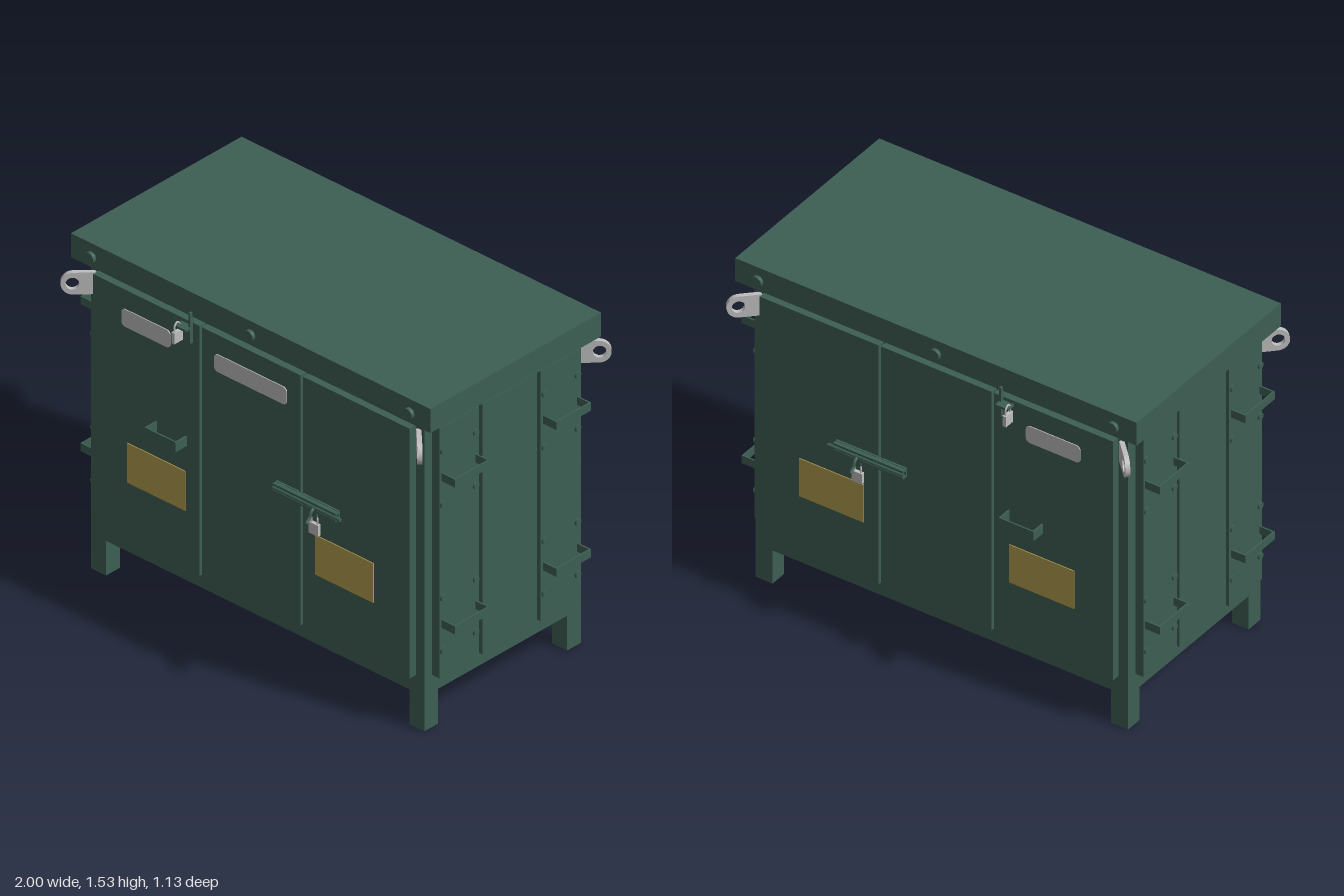
import * as THREE from 'three';

const paint = new THREE.MeshStandardMaterial({ color: 0x3d5f53 });
paint.name = 'green paint';
const steel = new THREE.MeshStandardMaterial({ color: 0xbebebe });
steel.name = 'light steel';
const yellow = new THREE.MeshStandardMaterial({ color: 0xb39c4f });
yellow.name = 'yellow plate';

export function createModel() {
  const root = new THREE.Group();
  root.name = 'equipmentCabinet';

  const add = (name, geo, mat, x = 0, y = 0, z = 0, parent = root) => {
    const m = new THREE.Mesh(geo, mat);
    m.name = name;
    m.position.set(x, y, z);
    parent.add(m);
    return m;
  };
  // box given by its limits on each axis
  const box = (name, mat, [x0, x1], [y0, y1], [z0, z1], parent = root) =>
    add(name, new THREE.BoxGeometry(Math.abs(x1 - x0), y1 - y0, Math.abs(z1 - z0)), mat,
      (x0 + x1) / 2, (y0 + y1) / 2, (z0 + z1) / 2, parent);
  // round bolt head pointing along x or z
  const bolt = (name, r, h, x, y, z, axis) => {
    const m = add(name, new THREE.CylinderGeometry(r, r, h, 16), paint, x, y, z);
    if (axis === 'x') m.rotation.z = Math.PI / 2;
    else m.rotation.x = Math.PI / 2;
  };
  const extrude = (shape, depth) =>
    new THREE.ExtrudeGeometry(shape, { depth, bevelEnabled: false, curveSegments: 12 })
      .translate(0, 0, -depth / 2);

  // Padlock hanging from its shackle, centred on its body
  const padlock = (x, y, z, turn) => {
    const g = new THREE.Group();
    g.name = 'padlock';
    box('padlockBody', steel, [-0.025, 0.025], [-0.025, 0.025], [-0.008, 0.008], g);
    const arch = new THREE.CatmullRomCurve3([[-0.015, 0.02], [-0.015, 0.05], [0, 0.065], [0.015, 0.05], [0.015, 0.02]]
      .map(([a, b]) => new THREE.Vector3(a, b, 0)));
    add('padlockShackle', new THREE.TubeGeometry(arch, 16, 0.004, 8), steel, 0, 0, 0, g);
    g.position.set(x, y, z);
    g.rotation.y = turn;
    root.add(g);
  };

  // Housing and lid
  box('body', paint, [-0.89, 0.89], [0.16, 1.42], [-0.45, 0.45]);
  box('lid', paint, [-0.96, 0.96], [1.42, 1.53], [-0.49, 0.49]);

  // Hollow square legs
  const legShape = new THREE.Shape([[-0.04, -0.04], [0.04, -0.04], [0.04, 0.04], [-0.04, 0.04]]
    .map(([a, b]) => new THREE.Vector2(a, b)));
  legShape.holes.push(new THREE.Path([[-0.035, -0.035], [-0.035, 0.035], [0.035, 0.035], [0.035, -0.035]]
    .map(([a, b]) => new THREE.Vector2(a, b))));
  const legGeo = extrude(legShape, 0.16).rotateX(Math.PI / 2);

  // Lifting lug: plate with a round eye
  const lugShape = new THREE.Shape();
  lugShape.moveTo(0, -0.05);
  lugShape.lineTo(0.092, -0.05);
  lugShape.absarc(0.092, 0, 0.05, -Math.PI / 2, Math.PI / 2, false);
  lugShape.lineTo(0, 0.05);
  lugShape.closePath();
  const eye = new THREE.Path();
  eye.absarc(0.095, 0, 0.027, 0, Math.PI * 2, true);
  lugShape.holes.push(eye);
  const lugGeo = extrude(lugShape, 0.02);

  for (const sx of [-1, 1]) for (const sz of [-1, 1]) {
    add('leg', legGeo, paint, sx * 0.85, 0.08, sz * 0.41);
    const lug = add('liftingLug', lugGeo, steel, sx * 0.86, 1.33, sz * 0.45);
    lug.rotation.y = Math.atan2(-sz, sx);
  }

  // Label slot with rounded corners
  const slot = (x0, x1, z) => {
    const y0 = 1.222, y1 = 1.302, r = 0.02, s = new THREE.Shape();
    s.absarc(x1 - r, y0 + r, r, -Math.PI / 2, 0);
    s.absarc(x1 - r, y1 - r, r, 0, Math.PI / 2);
    s.absarc(x0 + r, y1 - r, r, Math.PI / 2, Math.PI);
    s.absarc(x0 + r, y0 + r, r, Math.PI, Math.PI * 1.5);
    add('lightPanel', extrude(s, 0.006), steel, 0, 0, z);
  };

  // Front and back walls
  for (const s of [1, -1]) {
    const zr = (a, b) => [s * a, s * b];
    for (const xr of [[-0.845, -0.276], [-0.264, 0.264], [0.276, 0.845]])
      box('door', paint, xr, [0.24, 1.39], zr(0.44, 0.487));
    slot(-0.69, -0.43, s * 0.488);
    if (s > 0) slot(-0.195, 0.192, 0.488);
    for (const x0 of [-0.66, 0.345])
      box('yellowPlate', yellow, [x0, x0 + 0.31], [0.51, 0.692], zr(0.485, 0.491));
    for (const x of [-0.85, 0, 0.85]) bolt('lidBolt', 0.025, 0.03, x, 1.467, s * 0.492, 'z');

    // Pull handle
    box('doorHandleGrip', paint, [-0.51, -0.343], [0.81, 0.855], zr(0.545, 0.552));
    for (const x of [-0.51, -0.35])
      box('doorHandleArm', paint, [x, x + 0.007], [0.81, 0.855], zr(0.485, 0.548));

    // Locking bar across two doors
    box('latchPlate', paint, [0.14, 0.255], [0.815, 0.857], zr(0.485, 0.496));
    box('latchPlate', paint, [0.28, 0.475], [0.815, 0.857], zr(0.485, 0.496));
    for (const y of [0.82, 0.85])
      box('latchRail', paint, [0.14, 0.475], [y - 0.005, y + 0.005], zr(0.49, 0.515));
    const bar = add('latchBar', new THREE.CylinderGeometry(0.008, 0.008, 0.36, 12), paint, 0.32, 0.835, s * 0.512);
    bar.rotation.z = Math.PI / 2;
    box('latchTab', paint, [0.345, 0.375], [0.79, 0.835], zr(0.506, 0.514));
    const hook = new THREE.CatmullRomCurve3([[0.835, 0.512], [0.822, 0.53], [0.8, 0.54], [0.782, 0.558]]
      .map(([y, z]) => new THREE.Vector3(0.36, y, s * z)));
    add('latchLever', new THREE.TubeGeometry(hook, 12, 0.007, 8), paint);
    padlock(0.36, 0.738, s * 0.51, 0);

    // Lid hasp with a second padlock turned sideways
    box('haspPin', paint, [-0.32, -0.311], [1.3, 1.44], zr(0.485, 0.504));
    box('haspTab', paint, [-0.372, -0.311], [1.365, 1.375], zr(0.485, 0.53));
    padlock(-0.365, 1.322, s * 0.52, Math.PI / 2);
  }

  // End walls
  for (const s of [1, -1]) {
    const xr = (a, b) => [s * a, s * b];
    for (const zr of [[0.18, 0.405], [-0.155, 0.16], [-0.4, -0.175]])
      box('sidePanel', paint, xr(0.88, 0.93), [0.24, 1.39], zr);
    for (const y of [1.28, 1.035, 0.605, 0.362]) for (const z of [0.388, 0.2, -0.195, -0.385])
      bolt('sideBolt', 0.015, 0.016, s * 0.931, y, z, 'x');
    for (const y of [1.142, 0.467]) for (const z of [0.193, -0.39]) {
      const yr = [y, y + 0.037];
      box('sideHandleGrip', paint, xr(0.993, 1), yr, [z, z + 0.2]);
      for (const e of [z, z + 0.193]) box('sideHandleArm', paint, xr(0.925, 0.996), yr, [e, e + 0.007]);
    }
  }
  return root;
}
